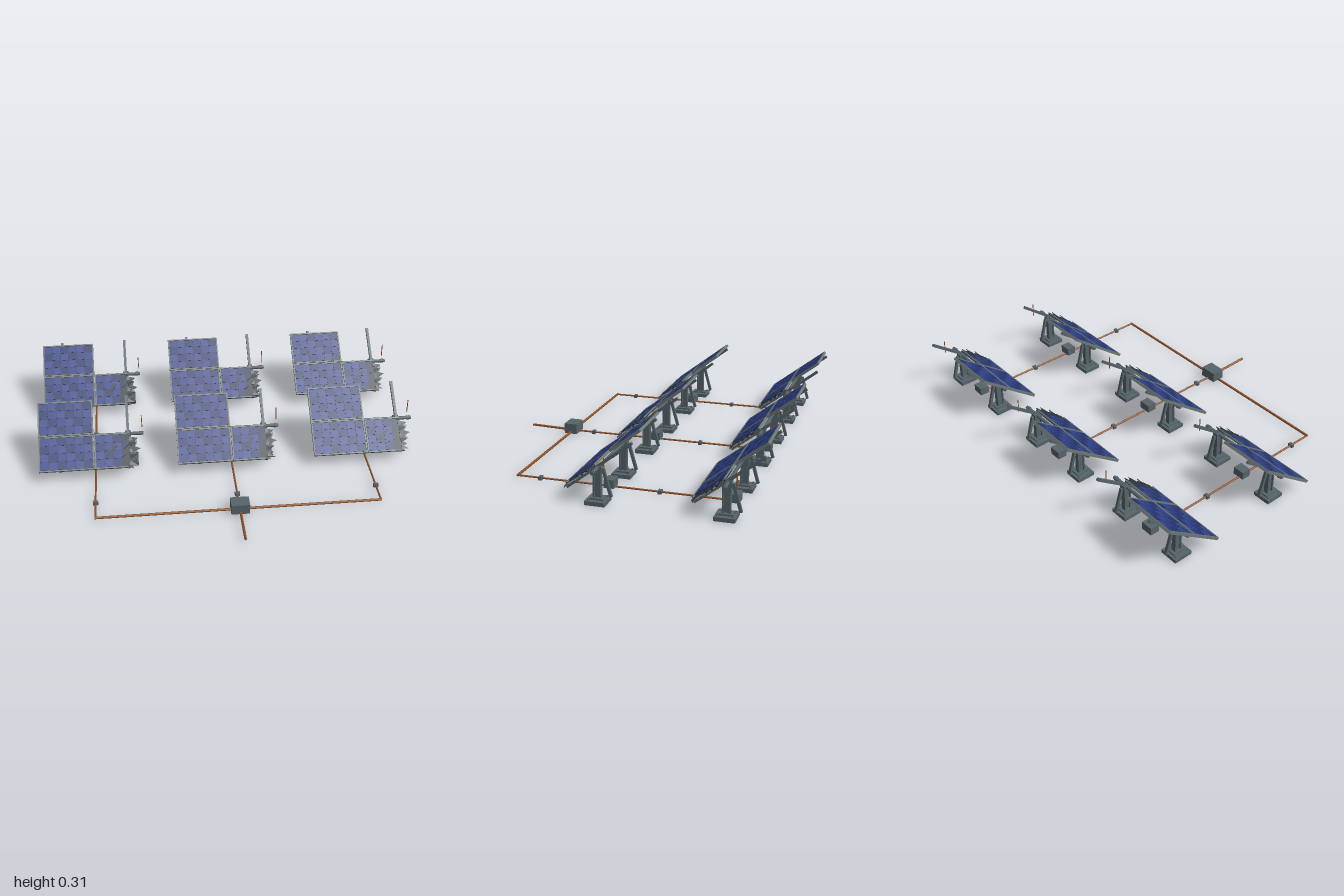
import * as THREE from 'three';

const paint = (color) => new THREE.MeshStandardMaterial({ color });
const steel = paint(0x56646a), frameGrey = paint(0x6f7873), dark = paint(0x30393e);
const navy = paint(0x2a3358), copper = paint(0x8f5128);
const blues = [paint(0x2c3f86), paint(0x25356f), paint(0x34468c)];

function add(parent, name, geo, mat, x = 0, y = 0, z = 0) {
  const mesh = new THREE.Mesh(geo, mat);
  mesh.name = name;
  mesh.position.set(x, y, z);
  parent.add(mesh);
  return mesh;
}
const box = (parent, name, w, h, d, mat, x, y, z) =>
  add(parent, name, new THREE.BoxGeometry(w, h, d), mat, x, y, z);

// Round bar between two points
function rod(parent, name, a, b, r, mat, sides = 8) {
  const from = new THREE.Vector3(...a), to = new THREE.Vector3(...b);
  const dir = to.clone().sub(from);
  const mesh = add(parent, name, new THREE.CylinderGeometry(r, r, dir.length(), sides), mat);
  mesh.position.copy(from).add(to).multiplyScalar(0.5);
  mesh.quaternion.setFromUnitVectors(new THREE.Vector3(0, 1, 0), dir.normalize());
  return mesh;
}

// Flat plate from an outline in x and z, top face at y = top
function plate(parent, name, points, thick, top, mat) {
  const shape = new THREE.Shape(points.map((p) => new THREE.Vector2(...p)));
  const geo = new THREE.ExtrudeGeometry(shape, { depth: thick, bevelEnabled: false });
  geo.rotateX(Math.PI / 2);
  return add(parent, name, geo, mat, 0, top, 0);
}

const W = 0.288, D = 0.19, COLS = 6, ROWS = 4, EDGE = 0.007;
const CW = (W - 2 * EDGE) / COLS, CD = (D - 2 * EDGE) / ROWS;
const cellGeo = new THREE.BoxGeometry(CW - 0.004, 0.002, CD - 0.004);

// Cells of one module; keep(u, v) decides which survive
function cells(parent, keep) {
  for (let i = 0; i < COLS; i++) for (let j = 0; j < ROWS; j++) {
    const u = EDGE + (i + 0.5) * CW, v = EDGE + (j + 0.5) * CD;
    if (keep(u, v)) add(parent, 'solarCell', cellGeo, blues[(i * 5 + j * 7) % 3], u, 0.0045, v);
  }
}

// Intact framed module, corner at the origin, spreading along +x and +z
function wholeModule() {
  const g = new THREE.Group();
  g.name = 'solarModule';
  box(g, 'backSheet', W - 0.004, 0.004, D - 0.004, dark, W / 2, -0.002, D / 2);
  box(g, 'glassSheet', W - 0.004, 0.003, D - 0.004, navy, W / 2, 0.0015, D / 2);
  for (const x of [EDGE / 2, W - EDGE / 2]) box(g, 'sideFrame', EDGE, 0.014, D, frameGrey, x, 0, D / 2);
  for (const z of [EDGE / 2, D - EDGE / 2]) box(g, 'endFrame', W, 0.0139, EDGE, frameGrey, W / 2, 0, z);
  cells(g, () => true);
  return g;
}

// Module with its outer side torn away
function brokenModule() {
  const g = new THREE.Group();
  g.name = 'brokenModule';
  plate(g, 'tornBackSheet', [[0, 0], [0.195, 0], [0.19, 0.022], [0.228, 0.03], [0.208, 0.05],
    [0.222, 0.06], [0.21, 0.075], [0.24, 0.088], [0.205, 0.105], [0.222, 0.122], [0.192, 0.135],
    [0.218, 0.152], [0.186, 0.165], [0.2, 0.19], [0, 0.19]], 0.005, 0, dark);
  plate(g, 'crackedGlass', [[0.002, 0.002], [0.18, 0.002], [0.165, 0.04], [0.185, 0.06], [0.152, 0.09],
    [0.16, 0.12], [0.138, 0.14], [0.148, 0.188], [0.002, 0.188]], 0.003, 0.003, navy);
  // Dark crack across the glass
  plate(g, 'crack', [[0.055, 0.125], [0.115, 0.06], [0.122, 0.072], [0.085, 0.115]], 0.002, 0.0065, dark);
  // Curled splinters along the tear
  for (let i = 0; i < 5; i++) {
    const splinter = plate(g, 'splinter', [[0, -0.012], [0.045, 0.002], [0, 0.013]], 0.003, 0.003, dark);
    splinter.position.set(0.183, 0.003, 0.03 + i * 0.034);
    splinter.rotation.set(0, (i % 2 ? 0.3 : -0.25), i % 2 ? 0.12 : -0.18);
  }
  box(g, 'sideFrame', EDGE, 0.014, D, frameGrey, EDGE / 2, 0, D / 2);
  box(g, 'endFrame', 0.188, 0.0139, EDGE, frameGrey, 0.094, 0, EDGE / 2);
  box(g, 'endFrame', 0.17, 0.0139, EDGE, frameGrey, 0.085, 0, D - EDGE / 2);
  cells(g, (u, v) => u < 0.168 - v * 0.25);
  return g;
}

// One pair of posts with its tilted table
function createTable() {
  const g = new THREE.Group();
  g.name = 'panelTable';
  const axisY = 0.172, axisZ = -0.005;

  for (const x of [-0.18, 0.18]) {
    const post = new THREE.Group();
    post.name = 'supportPost';
    post.position.x = x;
    g.add(post);
    box(post, 'footing', 0.095, 0.02, 0.098, steel, 0, 0.01, 0);
    box(post, 'footPlate', 0.045, 0.008, 0.07, steel, 0, 0.024, 0);
    // I-beam
    box(post, 'web', 0.008, 0.14, 0.034, steel, 0, 0.096, 0);
    for (const z of [-0.016, 0.016]) box(post, 'flange', 0.024, 0.14, 0.007, steel, 0, 0.096, z);
    box(post, 'headBracket', 0.03, 0.03, 0.044, steel, 0, axisY - 0.006, axisZ + 0.003);
    const brace = box(post, 'rearBrace', 0.014, 0.138, 0.014, steel, 0, 0.102, -0.047);
    brace.rotation.x = 0.27;
    for (const [bx, bz] of [[-1, -1], [-1, 1], [1, -1], [1, 1]])
      add(post, 'anchorBolt', new THREE.CylinderGeometry(0.004, 0.004, 0.008, 6), steel, bx * 0.033, 0.023, bz * 0.036);
  }

  // Tube the table turns on
  rod(g, 'torqueTube', [-0.262, axisY, axisZ], [0.262, axisY, axisZ], 0.009, steel, 12);
  for (const x of [-0.245, 0.245]) rod(g, 'tubeCollar', [x - 0.007, axisY, axisZ], [x + 0.007, axisY, axisZ], 0.0115, steel, 12);

  const tilt = new THREE.Group();
  tilt.name = 'tiltedTable';
  tilt.position.set(0, axisY, axisZ);
  tilt.rotation.x = 0.655;
  g.add(tilt);
  for (const x of [-0.18, 0.18]) box(tilt, 'rail', 0.014, 0.014, 0.4, steel, x, 0.006, -0.01);
  const lift = 0.019;
  for (const z of [-D - 0.001, 0.001]) {
    const m = wholeModule();
    m.position.set(-W - 0.001, lift, z);
    tilt.add(m);
  }
  const torn = brokenModule();
  torn.position.set(0.001, lift, 0.001);
  tilt.add(torn);

  // Junction box on the ground and a loose wire end
  box(g, 'junctionBox', 0.064, 0.042, 0.05, steel, 0.003, 0.034, 0);
  rod(g, 'looseWire', [0.256, 0.172, -0.062], [0.255, 0.248, -0.06], 0.0025, copper, 6);
  return g;
}

export function createModel() {
  const model = new THREE.Group();
  model.name = 'solarField';
  const columns = [-0.711, 0.0125, 0.736], rows = [0.022, -0.583], trunkZ = 0.505;

  const table = createTable();
  for (const x of columns) {
    for (const z of rows) {
      const t = table.clone();
      t.position.set(x, 0, z);
      model.add(t);
      // Coupling on the ground cable in front of each table
      box(model, 'cableCoupling', 0.026, 0.018, 0.018, steel, x, 0.012, z + 0.362);
    }
    rod(model, 'columnCable', [x, 0.012, trunkZ], [x, 0.012, rows[1]], 0.005, copper);
  }

  // Trunk cable, collector box and outgoing cable
  rod(model, 'trunkCable', [columns[0] - 0.004, 0.013, trunkZ], [columns[2] + 0.004, 0.013, trunkZ], 0.0065, copper);
  box(model, 'collectorBox', 0.094, 0.055, 0.07, steel, columns[1], 0.033, trunkZ);
  rod(model, 'outgoingCable', [columns[1], 0.013, trunkZ], [columns[1], 0.02, 0.748], 0.0065, copper);
  return model;
}
